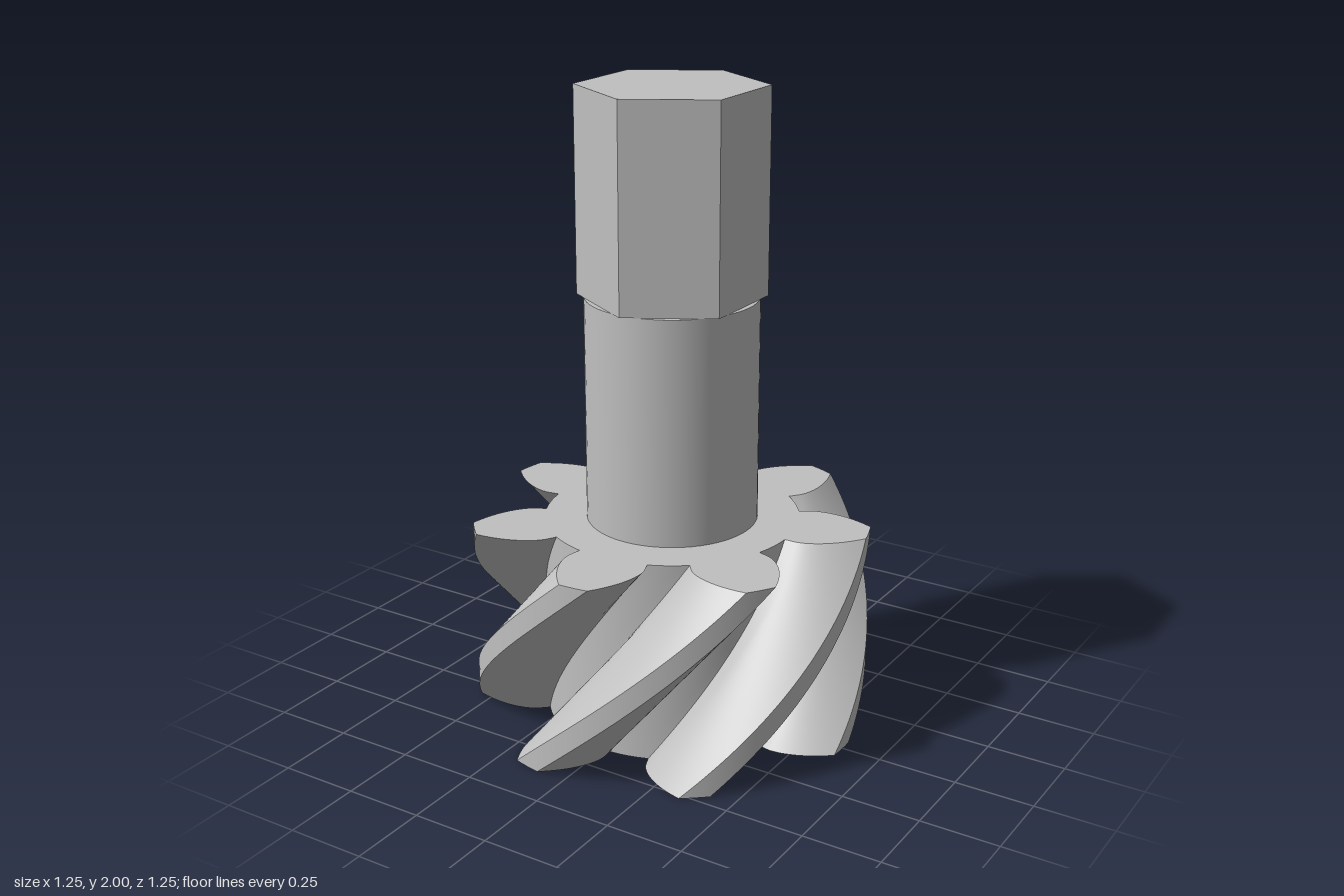
import * as THREE from 'three';
import { toCreasedNormals } from 'three/addons/utils/BufferGeometryUtils.js';

const DEG = Math.PI / 180;
const TEETH = 7, HEIGHT = 0.65, TWIST = 69.5 * DEG, PHASE = 4.8 * DEG;
const ROOT = 0.4, BASE = 0.44, TIP = 0.623, BASE_HALF = 16.7 * DEG, BORE = 0.233;

// Half the angular width of a tooth at radius r (involute above the base circle)
function halfWidth(r) {
  if (r <= BASE) return BASE_HALF;
  const a = Math.acos(BASE / r);
  return BASE_HALF - (Math.tan(a) - a);
}

// Gear outline with a round bore; angles run from +z towards +x
function gearShape() {
  const pts = [];
  const add = (r, t) => pts.push(new THREE.Vector2(r * Math.sin(t), -r * Math.cos(t)));
  const pitch = (2 * Math.PI) / TEETH;
  const radii = [ROOT];
  for (let i = 0; i <= 10; i++) radii.push(BASE + ((TIP - BASE) * i) / 10);
  const tipHalf = halfWidth(TIP), gap = pitch - 2 * BASE_HALF;
  for (let k = 0; k < TEETH; k++) {
    const c = PHASE + k * pitch;
    radii.forEach((r) => add(r, c - halfWidth(r)));
    for (let i = 1; i < 4; i++) add(TIP, c + tipHalf * (i / 2 - 1));
    [...radii].reverse().forEach((r) => add(r, c + halfWidth(r)));
    for (let i = 1; i < 4; i++) add(ROOT, c + BASE_HALF + (gap * i) / 4);
  }
  const shape = new THREE.Shape(pts);
  const bore = new THREE.Path();
  bore.absarc(0, 0, BORE, 0, 2 * Math.PI, true);
  shape.holes.push(bore);
  return shape;
}

// Straight extrusion twisted about y into helical teeth
function helicalGear() {
  const geo = new THREE.ExtrudeGeometry(gearShape(), {
    depth: HEIGHT, steps: 32, bevelEnabled: false, curveSegments: 64,
  });
  geo.rotateX(-Math.PI / 2);
  const pos = geo.attributes.position;
  for (let i = 0; i < pos.count; i++) {
    const x = pos.getX(i), y = pos.getY(i), z = pos.getZ(i);
    const a = (y / HEIGHT - 1) * TWIST, c = Math.cos(a), s = Math.sin(a);
    pos.setXYZ(i, x * c + z * s, y, z * c - x * s);
  }
  return toCreasedNormals(geo, 0.45);
}

export function createModel() {
  const group = new THREE.Group();
  group.name = 'helicalPinion';
  const steel = new THREE.MeshStandardMaterial({ color: 0xc0c0c0 });
  steel.name = 'steel grey';

  const addPart = (name, geo, y = 0) => {
    const mesh = new THREE.Mesh(geo, steel);
    mesh.name = name;
    mesh.position.y = y;
    group.add(mesh);
  };

  addPart('helicalGear', helicalGear());

  // Round shaft; its lower face closes the bore
  const shaftTop = 1.365;
  addPart('shaft', new THREE.CylinderGeometry(0.268, 0.268, shaftTop - HEIGHT, 64), (shaftTop + HEIGHT) / 2);

  // Hexagonal drive end with corners on the z axis
  const hex = new THREE.CylinderGeometry(0.29, 0.29, 2 - shaftTop, 6);
  addPart('hexDrive', toCreasedNormals(hex, 0.3), (2 + shaftTop) / 2);

  return group;
}
